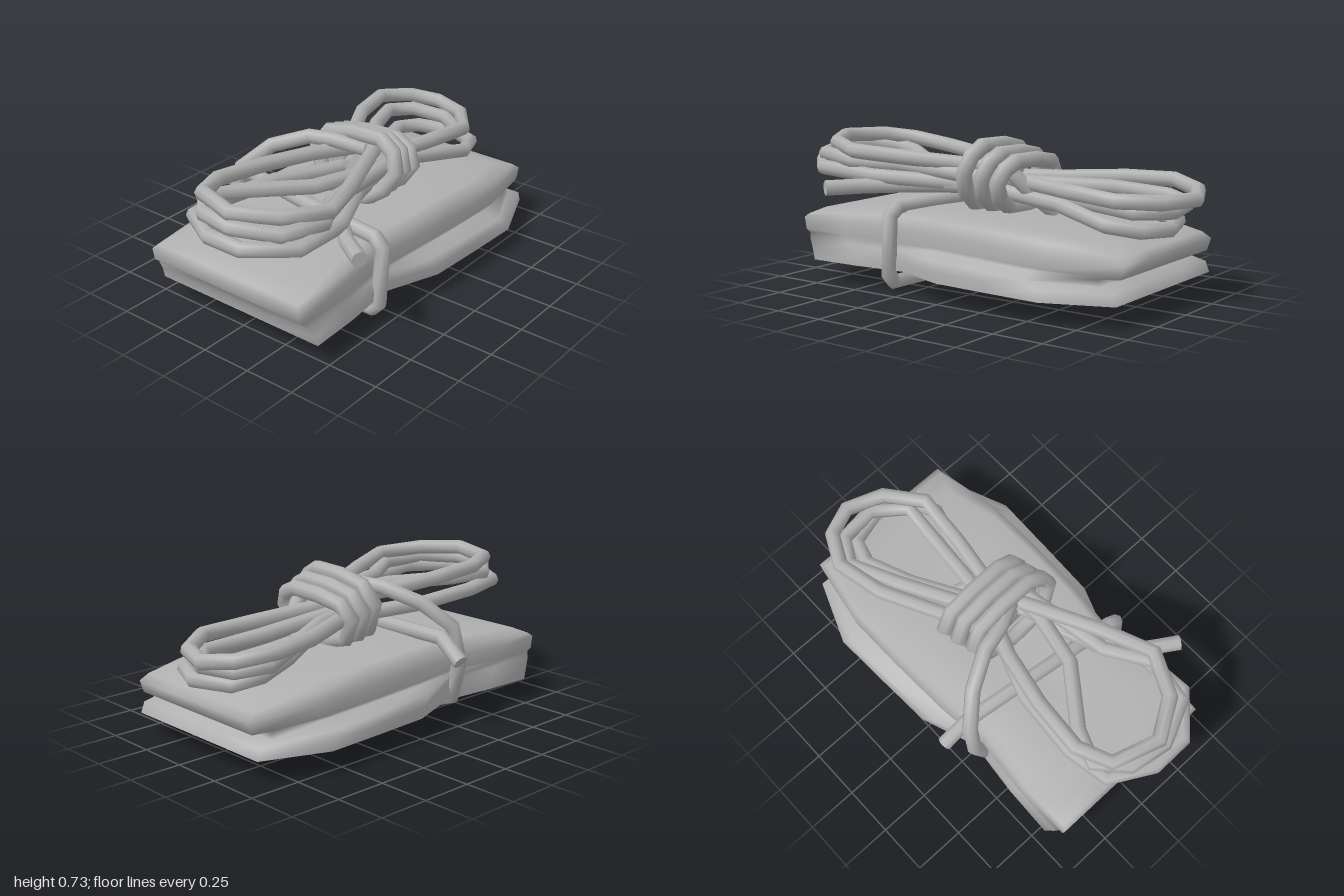
import * as THREE from 'three';

const greyMat = new THREE.MeshStandardMaterial({ color: 0xb0b0b0, side: THREE.DoubleSide });
greyMat.name = 'plain grey';

// Polygonal rope: the tube has one section exactly at each listed point
function rope(name, pts, closed = false, r = 0.037) {
  const group = new THREE.Group();
  group.name = name;
  const v = pts.map(p => new THREE.Vector3(...p));
  const curve = new THREE.CatmullRomCurve3(v, closed, 'centripetal');
  curve.getPointAt = (t, o) => curve.getPoint(t, o);
  curve.getTangentAt = (t, o) => curve.getTangent(t, o);
  const n = closed ? v.length : v.length - 1;
  group.add(new THREE.Mesh(new THREE.TubeGeometry(curve, n, r, 8, closed), greyMat));
  if (!closed) {
    for (const t of [0, 1]) {
      const cap = new THREE.Mesh(new THREE.CircleGeometry(r, 8), greyMat);
      const dir = curve.getTangent(t).multiplyScalar(t ? 1 : -1);
      cap.position.copy(curve.getPoint(t));
      cap.quaternion.setFromUnitVectors(new THREE.Vector3(0, 0, 1), dir);
      group.add(cap);
    }
  }
  group.children.forEach(m => { m.name = name; });
  return group;
}

// Folded cloth: stacked outlines, open underneath, a wide lower band and a narrower upper fold
function foldedCloth() {
  const xs = [-0.8, -0.55, -0.27, 0, 0.3, 0.57, 0.88];
  const band = [0.47, 0.46, 0.43, 0.53, 0.545, 0.555, 0.43];
  const fold = [0.44, 0.45, 0.42, 0.45, 0.46, 0.46, 0.4];
  // height, outline, inset, depth factor, left end, right end
  const layers = [
    [0.11, band, 0, 1, -0.79, 0.90],
    [0.16, band, 0, 1, -0.80, 0.88],
    [0.21, band, 0.015, 1, -0.83, 0.81],
    [0.235, fold, 0.005, 1, -0.85, 0.79],
    [0.25, fold, 0, 1, -0.87, 0.90],
    [0.31, fold, 0, 1, -0.88, 0.92],
    [0.367, fold, 0.015, 1, -0.86, 0.88],
    [0.393, fold, 0.06, 1, -0.79, 0.76],
    [0.395, fold, 0.06, 0.5, -0.6, 0.6],
    [0.39, fold, 0, 0, -0.45, 0.45],
  ];
  const pos = [], idx = [];
  layers.forEach(([y, depth, inset, k, xl, xr], j) => {
    const ring = [];
    const px = x => xl + (x + 0.8) / 1.68 * (xr - xl);
    xs.forEach((x, i) => ring.push([px(x), (depth[i] - inset) * k]));
    for (const s of [0.4, -0.4]) ring.push([xr, s * 0.43 * k]);
    for (let i = 6; i >= 0; i--) ring.push([px(xs[i]), -(depth[i] - 0.015 - inset) * k]);
    for (const s of [-0.4, 0.4]) ring.push([xl, s * 0.46 * k]);
    const n = ring.length;
    ring.forEach(([x, z], i) => {
      // the crease sinks to the right; the top droops towards both ends
      let droop = 0;
      if (j > 5) droop = 0.01 * x + 0.065 * x * x;
      else if (j > 1) droop = 0.035 * Math.max(x, 0);
      pos.push(x, y - droop, z);
      if (j) {
        const a = (j - 1) * n + i, b = (j - 1) * n + (i + 1) % n;
        idx.push(a, b, b + n, a, b + n, a + n);
      }
    });
  });
  const g = new THREE.BufferGeometry();
  g.setAttribute('position', new THREE.Float32BufferAttribute(pos, 3));
  g.setIndex(idx);
  g.computeVertexNormals();
  const mesh = new THREE.Mesh(g, greyMat);
  mesh.name = 'foldedCloth';
  return mesh;
}

// Give a flat x, z path a height that runs evenly with x
const sloped = (path, y0, slope) => path.map(([x, z]) => [x, y0 + slope * x, z]);

export function createModel() {
  const model = new THREE.Group();
  model.name = 'ropeTiedBundle';
  model.add(foldedCloth());

  // Left loops of the hank, rising outwards
  model.add(rope('leftOuterLoop', sloped([[0.1, -0.02], [-0.1, -0.07], [-0.34, -0.16], [-0.66, -0.19],
    [-0.86, -0.16], [-0.965, 0.03], [-0.965, 0.21], [-0.8, 0.38], [-0.5, 0.36], [-0.18, 0.2], [0.1, 0.1]], 0.5, -0.07)));
  model.add(rope('leftTopLoop', sloped([[0.1, 0.0], [-0.15, -0.1], [-0.42, -0.16], [-0.68, -0.185],
    [-0.84, -0.12], [-0.91, 0.1], [-0.8, 0.28], [-0.6, 0.385], [-0.35, 0.29], [0.1, 0.08]], 0.595, -0.095)));
  model.add(rope('leftMiddleLoop', sloped([[0.1, 0.14], [-0.1, 0.15], [-0.36, 0.09], [-0.62, -0.11], [-0.78, -0.17],
    [-0.9, -0.06], [-0.93, 0.12], [-0.84, 0.32], [-0.62, 0.37], [-0.42, 0.25], [0.1, 0.17]], 0.55, -0.08)));
  model.add(rope('looseEnd', [[-0.62, 0.49, 0.56], [-0.53, 0.49, 0.42], [-0.4, 0.49, 0.28], [-0.2, 0.5, 0.2], [0.1, 0.5, 0.12]]));

  // Right loops of the hank, sinking outwards
  model.add(rope('rightOuterLoop', [[0, 0.53, -0.06], [0.24, 0.53, -0.17], [0.51, 0.54, -0.31], [0.74, 0.54, -0.36],
    [0.9, 0.515, -0.28], [0.965, 0.495, -0.14], [0.9, 0.495, 0.04], [0.73, 0.505, 0.17], [0.46, 0.52, 0.14], [0, 0.55, 0.06]]));
  model.add(rope('rightInnerLoop', [[0, 0.51, 0.0], [0.22, 0.51, -0.06], [0.5, 0.5, -0.21], [0.74, 0.47, -0.31],
    [0.87, 0.455, -0.24], [0.9, 0.445, -0.05], [0.78, 0.45, 0.1], [0.5, 0.47, 0.07], [0, 0.52, 0.02]]));
  model.add(rope('rightLowerLoop', [[0, 0.46, 0.05], [0.25, 0.45, -0.02], [0.5, 0.42, -0.15], [0.72, 0.4, -0.23],
    [0.85, 0.38, -0.19], [0.91, 0.375, 0.0], [0.85, 0.38, 0.14], [0.7, 0.4, 0.2], [0.4, 0.45, 0.11], [0, 0.49, 0.1]]));
  model.add(rope('crossingStrand', [[0.13, 0.62, 0.17], [0.2, 0.55, 0.14], [0.25, 0.47, 0.08], [0.31, 0.39, 0.0]]));

  // Leaning wraps around the middle: z and height (0 to 1) of one turn
  const turn = [[0.27, 0.58], [0.235, 0.86], [0.16, 1], [0, 0.98], [-0.14, 0.88],
    [-0.2, 0.6], [-0.13, 0.15], [0, 0], [0.13, 0.05], [0.22, 0.27]];
  [[-0.045, 0.025, 0.7, 0.02], [0.04, 0.11, 0.665, 0], [0.13, 0.19, 0.635, -0.01]].forEach(([x0, x1, top, dz]) => {
    const path = turn.map(([z, h]) => [x0 + (x1 - x0) * h, 0.4 + (top - 0.4) * h, z + dz]);
    model.add(rope('middleWrap', path, true, 0.039));
  });

  // Strap from the wraps, down the back, under the cloth and over the top again
  model.add(rope('bindingStrap', [[0.03, 0.62, 0.08], [-0.04, 0.655, -0.05], [-0.07, 0.65, -0.17], [-0.16, 0.59, -0.33],
    [-0.26, 0.48, -0.44], [-0.3, 0.3, -0.455], [-0.32, 0.11, -0.39], [-0.33, 0.04, -0.2], [-0.33, 0.05, 0.41],
    [-0.33, 0.09, 0.445], [-0.315, 0.37, 0.45], [-0.31, 0.41, 0.4], [-0.26, 0.41, 0], [-0.21, 0.43, -0.42],
    [-0.2, 0.34, -0.55]], false, 0.037));
  return model;
}
